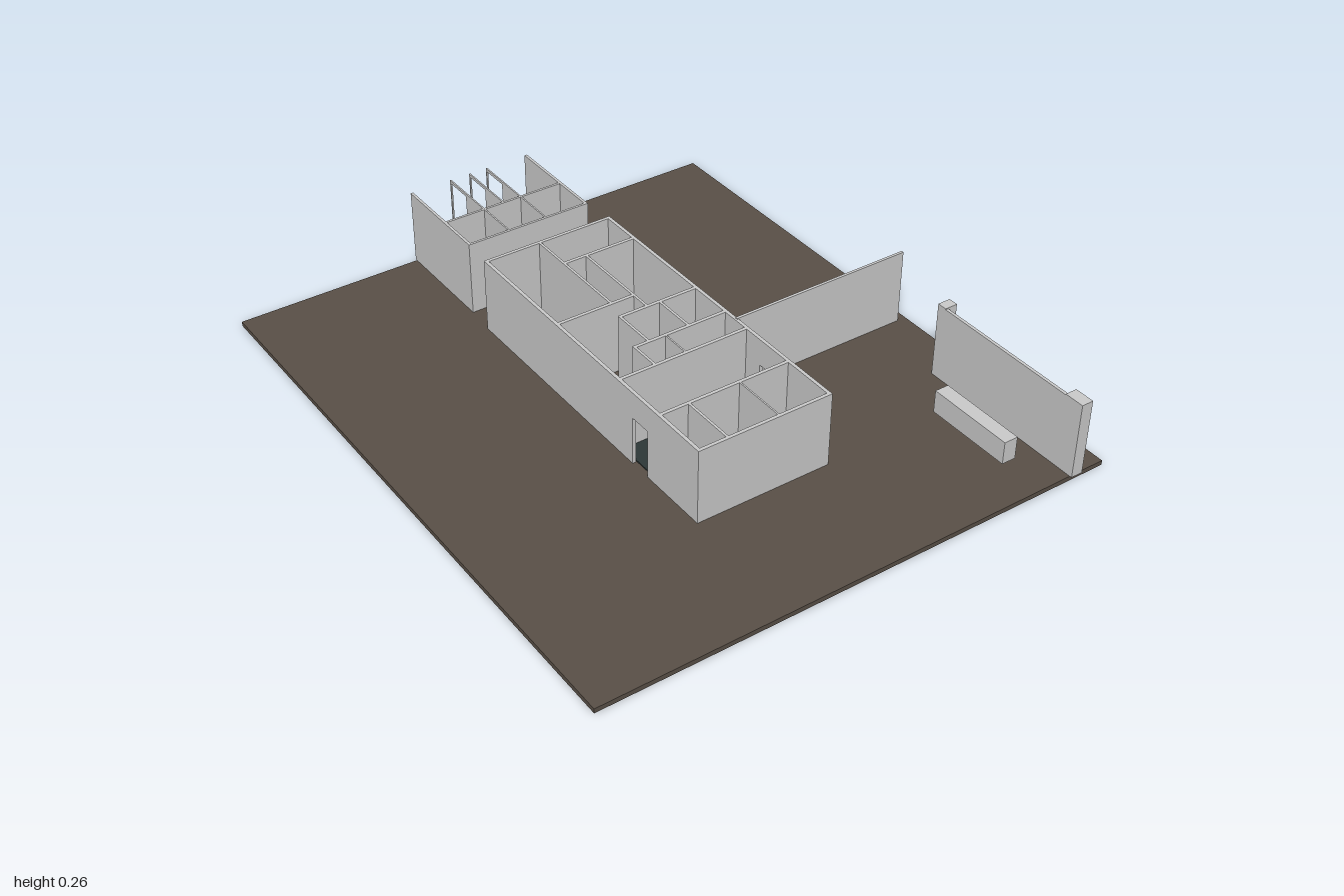
import * as THREE from 'three';

export function createModel() {
  const model = new THREE.Group();
  const mat = (name, color) => {
    const m = new THREE.MeshStandardMaterial({ color });
    m.name = name;
    return m;
  };
  const plaster = mat('pale grey plaster', 0xcccccc);
  const earth = mat('brown earth', 0x5a5047);
  const slate = mat('dark slate floor', 0x2d3838);

  const BASE = 0.015, TOP = 0.262, DOOR = 0.175;

  // Box given by its limits on each axis
  function block(parent, name, material, x0, x1, y0, y1, z0, z1) {
    const mesh = new THREE.Mesh(new THREE.BoxGeometry(x1 - x0, y1 - y0, z1 - z0), material);
    mesh.position.set((x0 + x1) / 2, (y0 + y1) / 2, (z0 + z1) / 2);
    mesh.name = name;
    parent.add(mesh);
  }
  const group = (name) => {
    const g = new THREE.Group();
    g.name = name;
    model.add(g);
    return g;
  };

  // Wall running along x, centred on z
  const wallX = (g, name, z, x0, x1, t = 0.011) =>
    block(g, name, plaster, x0, x1, BASE, TOP, z - t / 2, z + t / 2);

  // Wall running along z, centred on x, with optional door openings [z0, z1, head height]
  function wallZ(g, name, x, z0, z1, t = 0.011, doors = []) {
    let start = z0;
    for (const [d0, d1, head = DOOR] of doors) {
      block(g, name, plaster, x - t / 2, x + t / 2, BASE, TOP, start, d0);
      block(g, name + 'Lintel', plaster, x - t / 2, x + t / 2, head, TOP, d0, d1);
      start = d1;
    }
    block(g, name, plaster, x - t / 2, x + t / 2, BASE, TOP, start, z1);
  }

  // Ground slab
  block(model, 'ground', earth, -0.85, 0.85, 0, BASE, -0.993, 0.993);

  // Main building: outer walls
  const house = group('mainBuilding');
  wallX(house, 'frontWall', 0.567, -0.244, 0.205);
  wallX(house, 'backWall', -0.53, -0.244, 0.205);
  wallZ(house, 'rightWall', -0.2385, -0.535, 0.572, 0.011, [[0.26, 0.333]]);
  wallZ(house, 'leftWall', 0.1995, -0.535, 0.572, 0.011, [[-0.49, -0.43], [0.26, 0.333]]);

  // Main building: inner walls across the house [z, x0, x1]
  for (const [z, x0, x1] of [
    [-0.39, -0.055, 0.2], [-0.133, -0.24, 0.03], [-0.063, -0.073, 0.2],
    [0.085, -0.122, 0.2], [0.188, -0.24, 0.2], [0.383, -0.24, 0.2],
  ]) wallX(house, 'crossWall', z, x0, x1);

  // Main building: inner walls along the house [x, z0, z1, thickness]
  for (const [x, z0, z1, t] of [
    [-0.052, -0.53, -0.133, 0.008], [0.026, -0.39, -0.063, 0.008],
    [-0.069, -0.063, 0.085, 0.008], [0.069, -0.063, 0.085, 0.008],
    [-0.118, 0.085, 0.188, 0.008], [-0.013, 0.085, 0.188, 0.005],
    [-0.143, 0.383, 0.567, 0.008], [0.028, 0.383, 0.567, 0.005],
  ]) wallZ(house, 'partition', x, z0, z1, t);

  // Dark floor of the through hall
  block(house, 'hallFloor', slate, -0.23, 0.2, BASE, BASE + 0.004, 0.194, 0.378);

  // Rear block, open at the back
  const rear = group('rearBlock');
  wallZ(rear, 'rightWall', -0.232, -1, -0.636, 0.009);
  wallZ(rear, 'leftWall', 0.187, -1, -0.636, 0.009);
  wallX(rear, 'frontWall', -0.64, -0.236, 0.191, 0.008);
  wallX(rear, 'crossWall', -0.79, -0.236, 0.191, 0.008);
  for (const x of [-0.092, -0.022, 0.04])
    wallZ(rear, 'stallPartition', x, -1, -0.79, 0.005, [[-0.994, -0.9, 0.252]]);
  for (const x of [-0.092, 0.04]) wallZ(rear, 'roomPartition', x, -0.79, -0.64, 0.005);

  // Garden wall reaching out from the house
  block(model, 'gardenWall', plaster, 0.2, 0.82, BASE, 0.265, 0.131, 0.14);

  // Free-standing wall with a pillar at each end
  const screen = group('screenWall');
  block(screen, 'panel', plaster, 0.726, 0.736, BASE, TOP, 0.44, 0.935);
  block(screen, 'frontPillar', plaster, 0.726, 0.765, BASE, 0.265, 0.935, 1);
  block(screen, 'backPillar', plaster, 0.726, 0.769, BASE, 0.265, 0.408, 0.44);

  // Raised bench
  block(model, 'bench', plaster, 0.594, 0.641, 0.03, 0.105, 0.568, 0.86);

  return model;
}
